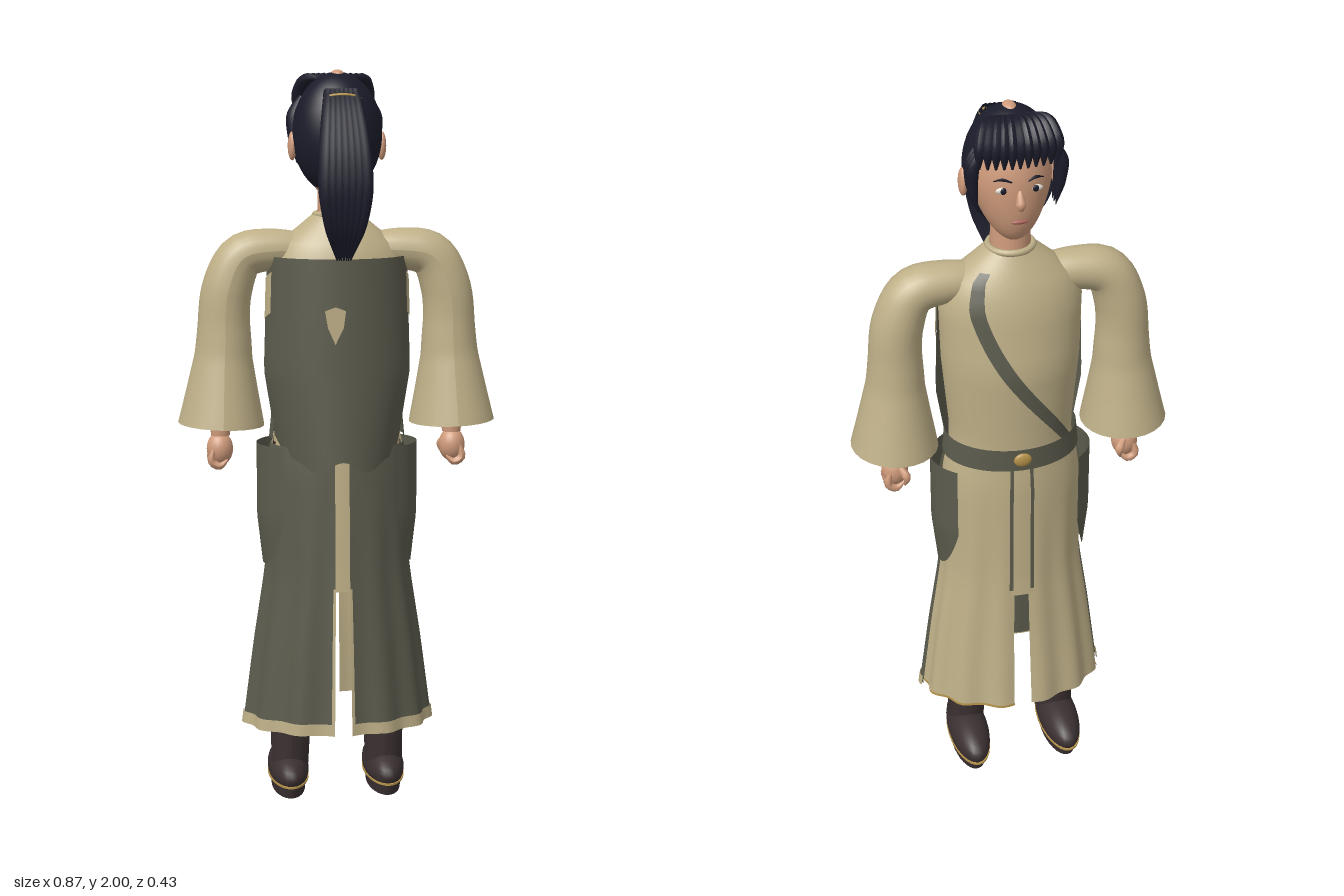
import * as THREE from 'three';

const mat = (name, color, side = THREE.FrontSide) => {
  const m = new THREE.MeshStandardMaterial({ color, side });
  m.name = name;
  return m;
};

// Garment cross-sections: [y, half width, back z, front z]
const CZ = -0.03;
const torsoRows = [
  [0.98, 0.175, 0.105, -0.16], [1.08, 0.165, 0.1, -0.162], [1.3, 0.185, 0.105, -0.175],
  [1.48, 0.19, 0.095, -0.15], [1.56, 0.15, 0.07, -0.122], [1.6, 0.08, 0.035, -0.095], [1.625, 0.058, 0.025, -0.085]];
const backRows = [[0.94, 0.158, 0.145, -0.15], [1.2, 0.2, 0.132, -0.17], [1.51, 0.19, 0.123, -0.14]];
const skirtRows = [
  [0.21, 0.255, 0.145, -0.2], [0.45, 0.225, 0.132, -0.178], [0.65, 0.195, 0.122, -0.168],
  [0.95, 0.19, 0.11, -0.168], [1.03, 0.172, 0.105, -0.163]];
const hipRows = [[0.64, 0.2, 0.125, -0.17], [0.8, 0.218, 0.128, -0.178], [1.0, 0.218, 0.122, -0.176]];

// Point on a garment: angle 0 is the pony-tail side, PI is the face side
function surf(rows, a, y, off = 0, ripple = 0) {
  let i = 0;
  while (i < rows.length - 2 && y > rows[i + 1][0]) i++;
  const t = (y - rows[i][0]) / (rows[i + 1][0] - rows[i][0]);
  const [, hx, zb, zf] = rows[i].map((v, k) => THREE.MathUtils.lerp(v, rows[i + 1][k], t));
  const o = off + ripple * Math.cos(a * 13);
  const c = Math.cos(a);
  return [(hx + o) * Math.sin(a), y, CZ + (c > 0 ? zb - CZ + o : CZ - zf + o) * c];
}

// Grid surface from a rule fn(u, v) -> [x, y, z]
function grid(fn, nu = 24, nv = 14) {
  const pos = [], idx = [];
  for (let j = 0; j <= nv; j++) for (let i = 0; i <= nu; i++) pos.push(...fn(i / nu, j / nv));
  for (let j = 0; j < nv; j++) for (let i = 0; i < nu; i++) {
    const a = j * (nu + 1) + i, b = a + nu + 1;
    idx.push(a, a + 1, b, a + 1, b + 1, b);
  }
  const g = new THREE.BufferGeometry();
  g.setAttribute('position', new THREE.Float32BufferAttribute(pos, 3));
  g.setIndex(idx);
  g.computeVertexNormals();
  return g;
}
const panel = (rows, a0, a1, y0, y1, off = 0, rip = () => 0, nu = 24) =>
  grid((u, v) => {
    const y = y0 + (y1 - y0) * v;
    return surf(rows, a0 + (a1 - a0) * u, y, off, rip(y));
  }, nu, 16);

// Tube whose rings follow a list of radii, optionally stretched along z
function taper(points, radii, zScale = 1, radial = 10, segs = 20) {
  const curve = new THREE.CatmullRomCurve3(points.map(p => new THREE.Vector3(...p)));
  const g = new THREE.TubeGeometry(curve, segs, 1, radial), p = g.attributes.position;
  const v = new THREE.Vector3();
  for (let i = 0; i < p.count; i++) {
    const t = Math.floor(i / (radial + 1)) / segs, f = t * (radii.length - 1);
    const k = Math.min(Math.floor(f), radii.length - 2);
    const r = THREE.MathUtils.lerp(radii[k], radii[k + 1], f - k), c = curve.getPointAt(t);
    v.fromBufferAttribute(p, i).sub(c).multiplyScalar(r);
    p.setXYZ(i, c.x + v.x, c.y + v.y, c.z + v.z * zScale);
  }
  g.computeVertexNormals();
  return g;
}

export function createModel() {
  const root = new THREE.Group();
  root.name = 'robedFigure';
  const D = THREE.DoubleSide;
  const cream = mat('cream cloth', 0xbfb088, D), grey = mat('olive grey cloth', 0x5b5b4d, D);
  const hair = mat('black hair', 0x1b1c2a, D), skin = mat('skin', 0xd09c7c);
  const boot = mat('dark brown leather', 0x3b3031), gold = mat('gold trim', 0xb4924a);
  const white = mat('eye white', 0xe4ddd2), lip = mat('lips', 0xa8645a);
  const add = (name, geo, m, pos, scale) => {
    const o = new THREE.Mesh(geo, m);
    o.name = name;
    if (pos) o.position.set(...pos);
    if (scale) o.scale.set(...scale);
    root.add(o);
    return o;
  };
  const ball = new THREE.SphereGeometry(1, 24, 18);
  const PI = Math.PI;

  // Robe body, back panel and belt
  add('torso', panel(torsoRows, 0, 2 * PI, 0.98, 1.625, 0, undefined, 48), cream);
  add('backPanel', grid((u, v) => {
    const a = -1.5 + 3 * u, low = 0.955 + 0.015 * Math.cos(a * 7);
    return surf(backRows, a, low + (1.51 - low) * v);
  }, 40, 16), grey);
  add('belt', panel(torsoRows, 1.3, 2 * PI - 1.3, 1.015, 1.08, 0.014, undefined, 40), grey);
  add('buckle', ball, gold, [0, 1.05, -0.178], [0.024, 0.02, 0.009]);
  const drop = new THREE.Shape([[0, -0.055], [0.022, -0.01], [0.028, 0.035], [0, 0.045], [-0.028, 0.035], [-0.02, -0.01]]
    .map(p => new THREE.Vector2(...p)));
  add('backPatch', new THREE.ShapeGeometry(drop), cream, [-0.02, 1.34, 0.131]);

  // Chest strap, lapel seam and collar
  add('chestStrap', grid((u, v) => {
    const y = 1.575 - 0.52 * v, a = PI - 0.68 + 1.65 * Math.pow(v, 1.8);
    return surf(torsoRows, a + (u - 0.5) * 0.24, y, 0.006);
  }, 4, 24), grey);
  add('lapelSeam', grid((u, v) =>
    surf(torsoRows, PI + 0.35 * Math.sin(v * PI) * v - 0.1 * v + (u - 0.5) * 0.025, 1.61 - 0.53 * v, 0.003), 1, 24), boot);
  const collar = add('collar', new THREE.TorusGeometry(0.058, 0.009, 8, 32), cream, [0, 1.618, CZ]);
  collar.rotation.x = PI / 2;

  // Skirt: grey back halves, cream front halves, trims and hip panels
  const rip = y => 0.007 * Math.max(0, (0.95 - y) / 0.75);
  for (const [side, s] of [['left', 1], ['right', -1]]) {
    add(side + 'BackSkirt', panel(skirtRows, s * 0.1, s * 1.57, 0.22, 1.0, 0.004, rip), grey);
    add(side + 'BackHem', panel(skirtRows, s * 0.1, s * 1.57, 0.213, 0.245, 0.008, rip), cream);
    add(side + 'SlitTrim', panel(skirtRows, s * 0.09, s * 0.125, 0.213, 0.62, 0.008, rip, 2), cream);
    add(side + 'FrontSkirt', panel(skirtRows, s * 1.5, s * (PI - 0.1), 0.23, 1.03, 0, rip), cream);
    add(side + 'FrontHem', panel(skirtRows, s * 1.57, s * (PI - 0.1), 0.23, 0.237, 0.003, rip), gold);
    add(side + 'HipPanel', grid((u, v) => {
      const e = Math.abs(2 * u - 1), low = 0.665 + 0.13 * Math.pow(e, 3);
      return surf(hipRows, s * (0.78 + 1.5 * u), low + (1.0 - low) * v, 0.002);
    }), grey);
    add(side + 'Cord', panel(skirtRows, s * (PI - 0.17), s * (PI - 0.12), 0.62, 1.02, 0.006, undefined, 2), grey);
    add(side + 'ShoulderPatch', grid((u, v) =>
      surf(backRows, s * (1.2 + 0.26 * u), 1.36 + 0.11 * v - 0.02 * u, 0.003), 4, 4), cream);
  }
  add('backCentrePanel', panel(skirtRows, -0.16, 0.16, 0.61, 1.0, -0.002, undefined, 6), cream);
  add('frontCentrePanel', panel(skirtRows, PI - 0.16, PI + 0.16, 0.6, 1.03, 0.002, undefined, 6), cream);

  // Sleeves, hands, legs and boots
  for (const [side, s] of [['left', 1], ['right', -1]]) {
    add(side + 'Sleeve', taper(
      [[0.07, 1.52], [0.17, 1.525], [0.255, 1.507], [0.297, 1.42], [0.308, 1.25], [0.316, 1.055]]
        .map(([x, y]) => [s * x, y, -0.025]),
      [0.045, 0.055, 0.062, 0.068, 0.07, 0.078, 0.097, 0.117], 1.06, 24, 36), cream);
    add(side + 'Forearm', new THREE.CylinderGeometry(0.042, 0.026, 0.24, 16), skin, [s * 0.318, 1.14, -0.035]);
    add(side + 'Palm', ball, skin, [s * 0.32, 0.982, -0.038], [0.036, 0.046, 0.036]);
    for (let i = 0; i < 4; i++) {
      const z = -0.012 - i * 0.018;
      add(side + 'Finger' + i, taper(
        [[s * 0.338, 0.985, z], [s * 0.343, 0.95, z], [s * 0.322, 0.938, z], [s * 0.3, 0.955, z]],
        [0.006, 0.011, 0.011, 0.003], 1, 8, 10), skin);
    }
    add(side + 'Thumb', taper([[s * 0.31, 1.0, -0.065], [s * 0.295, 0.975, -0.08], [s * 0.3, 0.95, -0.075]],
      [0.008, 0.012, 0.003], 1, 8, 10), skin);

    add(side + 'Leg', taper([[s * 0.1, 1.0, CZ], [s * 0.12, 0.6, CZ], [s * 0.133, 0.08, CZ]],
      [0.075, 0.066, 0.052], 1, 18), boot);
    for (const [y, x, r] of [[0.2, 0.131, 0.055], [0.45, 0.125, 0.062], [0.58, 0.121, 0.066]]) {
      const band = add(side + 'LegBand', new THREE.TorusGeometry(r, 0.005, 6, 28), gold, [s * x, y, CZ]);
      band.rotation.x = PI / 2;
    }
    add(side + 'Boot', ball, boot, [s * 0.135, 0.062, -0.066], [0.057, 0.058, 0.15]);
    add(side + 'Sole', new THREE.CylinderGeometry(1, 0.93, 0.035, 32), boot, [s * 0.135, 0.022, -0.066], [0.05, 1, 0.132]);
    add(side + 'SoleTrim', new THREE.CylinderGeometry(1, 1, 0.005, 32), gold, [s * 0.135, 0.043, -0.066], [0.057, 1, 0.149]);
  }

  // Head: a ball narrowed toward the chin
  add('neck', new THREE.CylinderGeometry(0.05, 0.054, 0.15, 24), skin, [0, 1.65, CZ]);
  const head = new THREE.SphereGeometry(1, 32, 24), hp = head.attributes.position;
  for (let i = 0; i < hp.count; i++) {
    const y = hp.getY(i), t = Math.max(0, -y);
    hp.setXYZ(i, hp.getX(i) * 0.104 * (1 - 0.2 * t), y * 0.165, hp.getZ(i) * 0.108 - 0.03 * t * t);
  }
  head.computeVertexNormals();
  add('head', head, skin, [0, 1.815, CZ]);
  add('nose', taper([[0, 1.82, -0.13], [0, 1.79, -0.143], [0, 1.772, -0.147], [0, 1.762, -0.138]],
    [0.004, 0.009, 0.013, 0.003], 1, 10, 12), skin);
  add('mouth', ball, lip, [0, 1.728, -0.133], [0.022, 0.006, 0.006]);
  for (const s of [-1, 1]) {
    add('ear', ball, skin, [s * 0.12, 1.8, -0.022], [0.012, 0.038, 0.022]);
    add('eye', ball, white, [s * 0.041, 1.815, -0.127], [0.019, 0.009, 0.006]);
    add('iris', ball, hair, [s * 0.041, 1.815, -0.131], [0.008, 0.009, 0.004]);
    add('eyebrow', taper([[s * 0.02, 1.838, -0.135], [s * 0.042, 1.845, -0.129], [s * 0.064, 1.838, -0.117]],
      [0.002, 0.004, 0.001], 1, 6, 8), hair);
  }

  // Hair: crown, back and sides, fringe, side locks
  add('hairCrown', new THREE.SphereGeometry(1, 36, 14, 0, 2 * PI, 0, 1.12), hair, [0, 1.832, -0.018], [0.12, 0.162, 0.117]);
  add('hairBack', new THREE.SphereGeometry(1, 36, 24, -0.5, PI + 1, 0, 2.62), hair, [0, 1.832, -0.018], [0.12, 0.162, 0.112]);
  add('crownSpot', ball, skin, [0, 1.988, -0.015], [0.018, 0.012, 0.027]);
  for (let i = -5; i <= 5; i++) {
    const x = i * 0.0195, bend = 0.018 * (i / 5) ** 2;
    add('fringeStrand', taper(
      [[x * 0.5, 1.978, -0.05], [x * 0.8, 1.975, -0.1 + bend], [x, 1.93, -0.138 + bend], [x * 1.02, 1.875, -0.138 + bend]],
      [0.006, 0.017, 0.017, 0.003], 1, 8, 14), hair);
  }
  for (const s of [-1, 1]) for (let i = 0; i < 3; i++) {
    const z = -0.115 + i * 0.018;
    add('sideLock', taper([[s * 0.09, 1.93, z], [s * 0.112, 1.88, z], [s * 0.112, 1.82, z + 0.008], [s * 0.1, 1.75, z + 0.015]],
      [0.006, 0.016, 0.012, 0.001], 1, 8, 14), hair);
  }

  // Pony tail with its tie
  for (let i = -3; i <= 3; i++) {
    const x = i * 0.0165;
    add('ponyStrand', taper(
      [[x * 0.7, 1.945, 0.085], [x * 0.8, 1.9, 0.125], [x, 1.79, 0.18], [x * 1.05, 1.69, 0.2], [x * 0.8, 1.6, 0.19], [x * 0.35, 1.51, 0.148]],
      [0.012, 0.017, 0.019, 0.019, 0.015, 0.002], 1, 8, 22), hair);
  }
  const tie = add('ponyTie', new THREE.TorusGeometry(1, 0.12, 8, 28), gold, [0, 1.925, 0.102], [0.046, 0.017, 0.03]);
  tie.rotation.x = 0.75;
  return root;
}
